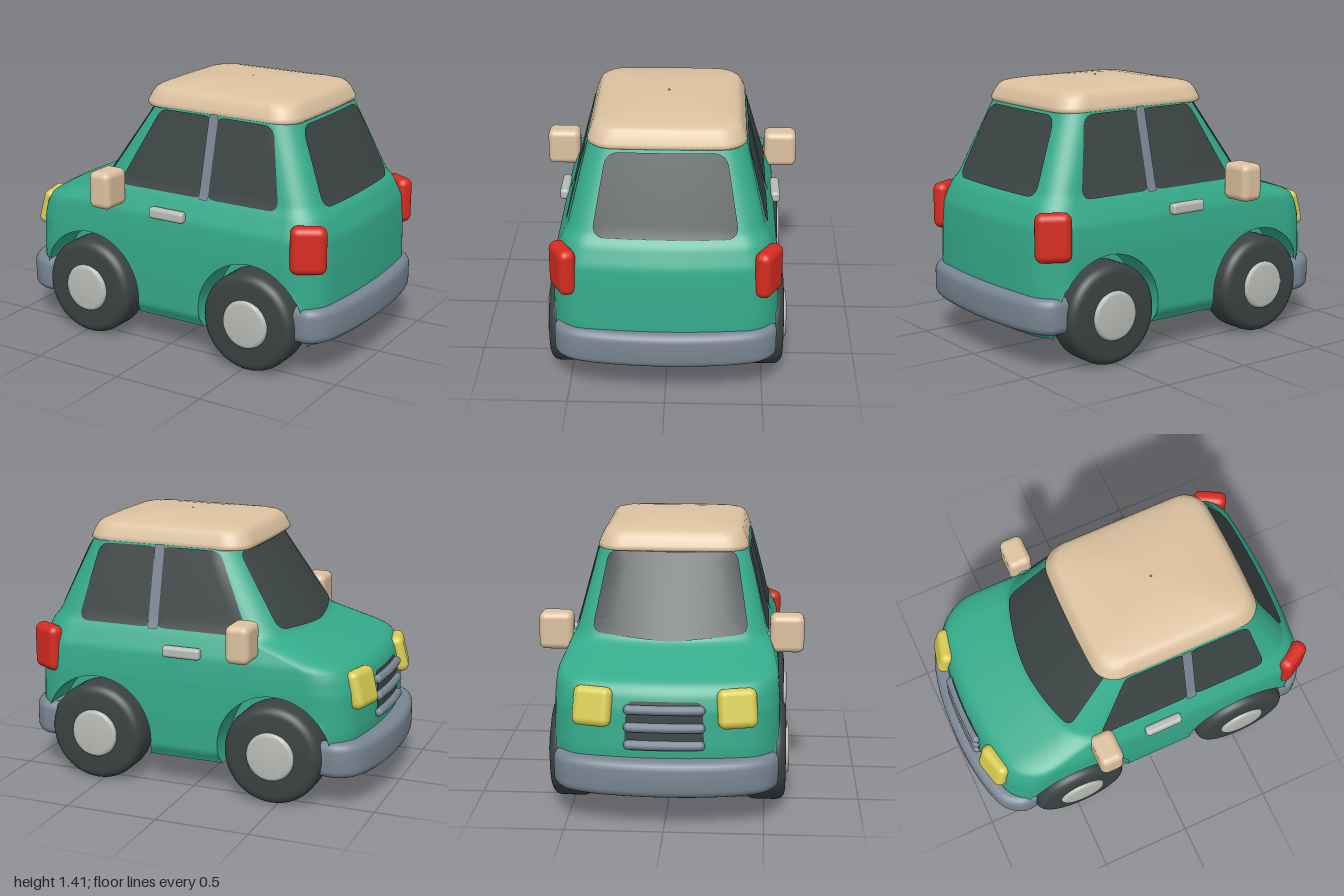
import * as THREE from 'three';
import { toCreasedNormals } from 'three/addons/utils/BufferGeometryUtils.js';
import { RoundedBoxGeometry } from 'three/addons/geometries/RoundedBoxGeometry.js';

const colour = (name, color, side = THREE.FrontSide) => {
  const m = new THREE.MeshStandardMaterial({ color, side });
  m.name = name;
  return m;
};
const paint = colour('green paint', 0x35ab8b, THREE.DoubleSide);
const glass = colour('dark glass', 0x3c4444, THREE.DoubleSide);
const rubber = colour('tyre rubber', 0x3b4242);
const cream = colour('cream roof', 0xdcc2a0);
const trim = colour('grey trim', 0x788592, THREE.DoubleSide);
const silver = colour('silver', 0xb9bcb6);
const red = colour('tail red', 0xd62b20);
const yellow = colour('lamp yellow', 0xd8cc52);

const WHEEL_X = [-0.47, 0.53], WHEEL_Y = 0.265, ARCH = 0.31, WELL_Z = 0.36, FLOOR = 0.165;

// Body plan at each height: y, front x, rear x, half width, corner radius, front bulge, rear bulge
const SECTIONS = [
  [0.165, -0.80, 0.84, 0.53, 0.16, 0.08, 0.05],
  [0.22, -0.83, 0.885, 0.565, 0.16, 0.08, 0.05],
  [0.40, -0.84, 0.895, 0.575, 0.16, 0.08, 0.05],
  [0.60, -0.83, 0.89, 0.575, 0.16, 0.08, 0.05],
  [0.68, -0.81, 0.885, 0.57, 0.16, 0.08, 0.05],
  [0.735, -0.77, 0.88, 0.565, 0.15, 0.08, 0.05],
  [0.84, -0.43, 0.845, 0.52, 0.13, 0.10, 0.04],
  [0.875, -0.41, 0.815, 0.50, 0.12, 0.10, 0.035],
  [1.30, -0.16, 0.64, 0.395, 0.12, 0.06, 0.02],
];

function sectionAt(y) {
  let i = 0;
  while (i < SECTIONS.length - 2 && y > SECTIONS[i + 1][0]) i++;
  const a = SECTIONS[i], b = SECTIONS[i + 1];
  const t = THREE.MathUtils.clamp((y - a[0]) / (b[0] - a[0]), 0, 1);
  return a.slice(1).map((v, k) => v + (b[k + 1] - v) * t);
}
// Sections averaged over a small height, which softens the edges
function plan(y) {
  const near = [-0.015, -0.0075, 0, 0.0075, 0.015].map((d) => sectionAt(y + d));
  return near[0].map((_, k) => near.reduce((s, n) => s + n[k], 0) / near.length);
}

// Rounded rectangle seen from above, with bulging ends
function ring([x0, x1, hz, r, bf, br], y) {
  const pts = [], mid = (x0 + x1) / 2;
  const corners = [[x1 - r, r - hz], [x0 + r, r - hz], [x0 + r, hz - r], [x1 - r, hz - r]];
  const flat = [];
  corners.forEach(([cx, cz], c) => {
    for (let k = 0; k <= 8; k++) {
      const a = (c + k / 8) * Math.PI / 2;
      flat.push([cx + r * Math.cos(a), cz - r * Math.sin(a)]);
    }
    const from = flat[flat.length - 1], next = corners[(c + 1) % 4], a = (c + 1) * Math.PI / 2;
    const to = [next[0] + r * Math.cos(a), next[1] - r * Math.sin(a)];
    const n = c % 2 ? 20 : 80;
    for (let k = 1; k < n; k++) flat.push([0, 1].map((d) => from[d] + (to[d] - from[d]) * k / n));
  });
  for (const [x, z] of flat) {
    const bulge = (x > mid ? br : -bf) * (1 - (z / hz) ** 2);
    pts.push(new THREE.Vector3(x + bulge, y, z));
  }
  return pts;
}

// Skin over rows of points; keep() can leave triangles out
function loft(rows, closed = true, keep = () => true) {
  const n = rows[0].length, pts = rows.flat(), index = [];
  const add = (...t) => { if (keep(t)) index.push(...t); };
  for (let i = 0; i < rows.length - 1; i++) {
    for (let j = 0; j < (closed ? n : n - 1); j++) {
      const a = i * n + j, b = i * n + (j + 1) % n;
      add(a, b, b + n);
      add(a, b + n, a + n);
    }
  }
  const g = new THREE.BufferGeometry().setFromPoints(pts);
  g.setIndex(index);
  g.computeVertexNormals();
  return g;
}

// Surface lookups for parts that lie on the body
const cornerDrop = (d, r) => (d > 0 ? r - Math.sqrt(Math.max(0, r * r - d * d)) : 0);
function sideZ(x, y) {
  const [x0, x1, hz, r] = plan(y);
  return hz - cornerDrop(Math.max(x0 + r - x, x - x1 + r), r);
}
function endX(z, y, front) {
  const [x0, x1, hz, r, bf, br] = plan(y);
  const drop = cornerDrop(Math.abs(z) - hz + r, r), b = 1 - (z / hz) ** 2;
  return front ? x0 + drop - bf * b : x1 - drop + br * b;
}
const onSide = (s, lift = 0.007) => (x, y) => new THREE.Vector3(x, y, s * (sideZ(x, y) + lift));
const onEnd = (front, lift = 0.009) => (z, y) =>
  new THREE.Vector3(endX(z, y, front) + (front ? -lift : lift), y, z);

// Thin plate with rounded corners, laid on the body
function patch(corners, radius, project) {
  const p = corners.map((c) => new THREE.Vector2(...c)), n = p.length, s = new THREE.Shape();
  p.forEach((c, i) => {
    const a = p[(i + n - 1) % n].clone().sub(c).setLength(radius).add(c);
    const b = p[(i + 1) % n].clone().sub(c).setLength(radius).add(c);
    if (i) s.lineTo(a.x, a.y); else s.moveTo(a.x, a.y);
    s.quadraticCurveTo(c.x, c.y, b.x, b.y);
  });
  s.closePath();
  const outline = s.getSpacedPoints(90);
  const mid = p.reduce((m, c) => m.add(c), new THREE.Vector2()).divideScalar(n);
  const rows = [1, 0.85, 0.7, 0.55, 0.4, 0.25, 0.1, 0].map((k) =>
    outline.map((o) => project(mid.x + (o.x - mid.x) * k, mid.y + (o.y - mid.y) * k)));
  return loft(rows, false);
}

export function createModel() {
  const car = new THREE.Group();
  car.name = 'car';
  const add = (name, geo, mat, x = 0, y = 0, z = 0) => {
    const m = new THREE.Mesh(geo, mat);
    m.name = name;
    m.position.set(x, y, z);
    car.add(m);
    return m;
  };
  const box = (w, h, d, r) => new RoundedBoxGeometry(w, h, d, 5, r);

  // Body shell with the wheel arches cut out
  const rows = [];
  for (let i = 0; i <= 90; i++) {
    const y = FLOOR + (1.30 - FLOOR) * i / 90;
    rows.push(ring(plan(y), y));
  }
  const inside = rows.flat().map((p) => {
    if (Math.abs(p.z) < WELL_Z) return false;
    const wx = WHEEL_X.find((w) => Math.hypot(p.x - w, p.y - WHEEL_Y) < ARCH);
    if (wx === undefined) return false;
    const k = ARCH / Math.max(1e-4, Math.hypot(p.x - wx, p.y - WHEEL_Y));
    p.x = wx + (p.x - wx) * k;
    p.y = WHEEL_Y + (p.y - WHEEL_Y) * k;
    return true;
  });
  add('body', loft(rows, true, (t) => !t.every((i) => inside[i])), paint);

  // Floor, notched at the wheels
  const chord = Math.sqrt(ARCH ** 2 - (WHEEL_Y - FLOOR) ** 2);
  const floor = new THREE.Shape(ring(plan(FLOOR), FLOOR).map((p) => {
    const notch = Math.abs(p.z) > WELL_Z && WHEEL_X.some((w) => Math.abs(p.x - w) < chord);
    return new THREE.Vector2(p.x, notch ? Math.sign(p.z) * WELL_Z : p.z);
  }));
  add('floor', new THREE.ShapeGeometry(floor).rotateX(Math.PI / 2), paint, 0, FLOOR, 0);

  // Roof cap
  const roofRows = [[0.9, 1.27], [0.98, 1.272], [1, 1.282], [0.99, 1.30], [0.95, 1.34], [0.92, 1.36], [0.88, 1.373],
    [0.8, 1.382], [0.65, 1.393], [0.45, 1.403], [0.25, 1.408], [0.01, 1.41]];
  add('roof', loft(roofRows.map(([s, y]) =>
    ring([0.21 - 0.455 * s, 0.21 + 0.455 * s, 0.403 * s, 0.12 * s, 0.015 * s, 0.015 * s], y))), cream);

  // Windscreen and rear window
  add('windscreen', patch([[-0.41, 0.885], [0, 0.855], [0.41, 0.885], [0.34, 1.27], [-0.34, 1.27]], 0.05, onEnd(true)), glass);
  add('rearWindow', patch([[-0.37, 0.87], [0.37, 0.87], [0.30, 1.262], [-0.30, 1.262]], 0.07, onEnd(false)), glass);

  // Bumpers
  const bumper = (name, half, top) => {
    const pts = [...half, ...half.slice(0, -1).reverse().map(([x, z]) => [x, -z])];
    const s = new THREE.Shape();
    s.moveTo(...pts[0]);
    s.splineThru(pts.slice(1).map((p) => new THREE.Vector2(...p)));
    s.closePath();
    const g = new THREE.ExtrudeGeometry(s, { depth: 0.10, bevelThickness: 0.045, bevelSize: 0.045,
      bevelOffset: -0.045, bevelSegments: 5, curveSegments: 40 });
    add(name, toCreasedNormals(g.rotateX(Math.PI / 2), 0.7), trim, 0, top - 0.045, 0);
  };
  bumper('frontBumper', [[-0.72, 0.565], [-0.82, 0.565], [-0.92, 0.48], [-0.98, 0.27], [-1, 0]], 0.36);
  bumper('rearBumper', [[0.78, 0.565], [0.87, 0.56], [0.945, 0.47], [0.985, 0.27], [1, 0]], 0.39);

  // Grille
  add('grillePanel', patch([[-0.2, 0.4], [0.2, 0.4], [0.19, 0.65], [-0.19, 0.65]], 0.04, onEnd(true, 0.006)), glass);
  for (const y of [0.43, 0.52, 0.61]) {
    const path = [-0.18, -0.09, 0, 0.09, 0.18].map((z) => onEnd(true, 0.01)(z, y));
    add('grilleBar', new THREE.TubeGeometry(new THREE.CatmullRomCurve3(path), 24, 0.025, 10), trim);
    for (const p of [path[0], path[4]]) add('grilleBarEnd', new THREE.SphereGeometry(0.025, 12, 8), trim, p.x, p.y, p.z);
  }

  // Tyre and hub profiles, turned around the axle
  const arc = (cx, cy, r, a0, a1) => Array.from({ length: 7 }, (_, i) => {
    const a = a0 + (a1 - a0) * i / 6;
    return new THREE.Vector2(cx + r * Math.cos(a), cy + r * Math.sin(a));
  });
  const q = Math.PI / 2;
  const turned = (pts) => toCreasedNormals(new THREE.LatheGeometry(pts, 56).rotateX(q), 0.6);
  const tyre = turned([new THREE.Vector2(0, -0.105), ...arc(0.215, -0.055, 0.05, -q, 0),
    ...arc(0.215, 0.055, 0.05, 0, q), new THREE.Vector2(0, 0.105)]);
  const hub = turned([new THREE.Vector2(0.13, -0.03), ...arc(0.11, 0, 0.02, 0, q), new THREE.Vector2(0, 0.022)]);

  for (const s of [1, -1]) {
    // Wheels and wheel wells
    for (const wx of WHEEL_X) {
      add('tyre', tyre, rubber, wx, WHEEL_Y, s * 0.505);
      add('hub', hub, silver, wx, WHEEL_Y, s * 0.608).rotation.x = s > 0 ? 0 : Math.PI;
      const start = -Math.asin((WHEEL_Y - FLOOR) / ARCH);
      const rim = (k, z) => Array.from({ length: 49 }, (_, i) => {
        const a = start + (Math.PI - 2 * start) * i / 48;
        const x = wx + ARCH * k * Math.cos(a), y = WHEEL_Y + ARCH * k * Math.sin(a);
        return new THREE.Vector3(x, y, s * (z ?? sideZ(x, y)));
      });
      add('wheelWell', toCreasedNormals(loft([rim(1), rim(1, WELL_Z), rim(0.01, WELL_Z)], false), 0.6), paint);
    }
    // Side windows and pillar
    add('frontSideWindow', patch([[-0.31, 0.86], [0.21, 0.86], [0.21, 1.272], [-0.11, 1.272]], 0.05, onSide(s)), glass);
    add('rearSideWindow', patch([[0.23, 0.86], [0.66, 0.86], [0.57, 1.268], [0.23, 1.272]], 0.06, onSide(s)), glass);
    add('doorPillar', patch([[0.195, 0.855], [0.25, 0.855], [0.25, 1.285], [0.195, 1.285]], 0.005, onSide(s, 0.014)), trim);
    // Mirror, door handle and lamps
    add('mirror', box(0.13, 0.2, 0.18, 0.035), cream, -0.315, 0.86, s * 0.61);
    add('mirrorArm', box(0.05, 0.06, 0.1, 0.02), paint, -0.31, 0.83, s * 0.52);
    add('doorHandle', box(0.21, 0.06, 0.05, 0.018), silver, 0.035, 0.757, s * 0.573);
    add('headlight', box(0.08, 0.2, 0.2, 0.038), yellow, -0.875, 0.615, s * 0.362).rotation.set(0, s * 0.25, -0.25);
    add('tailLight', box(0.185, 0.25, 0.09, 0.04), red, 0.838, 0.695, s * 0.518).rotation.y = s * 0.5;
  }
  return car;
}
